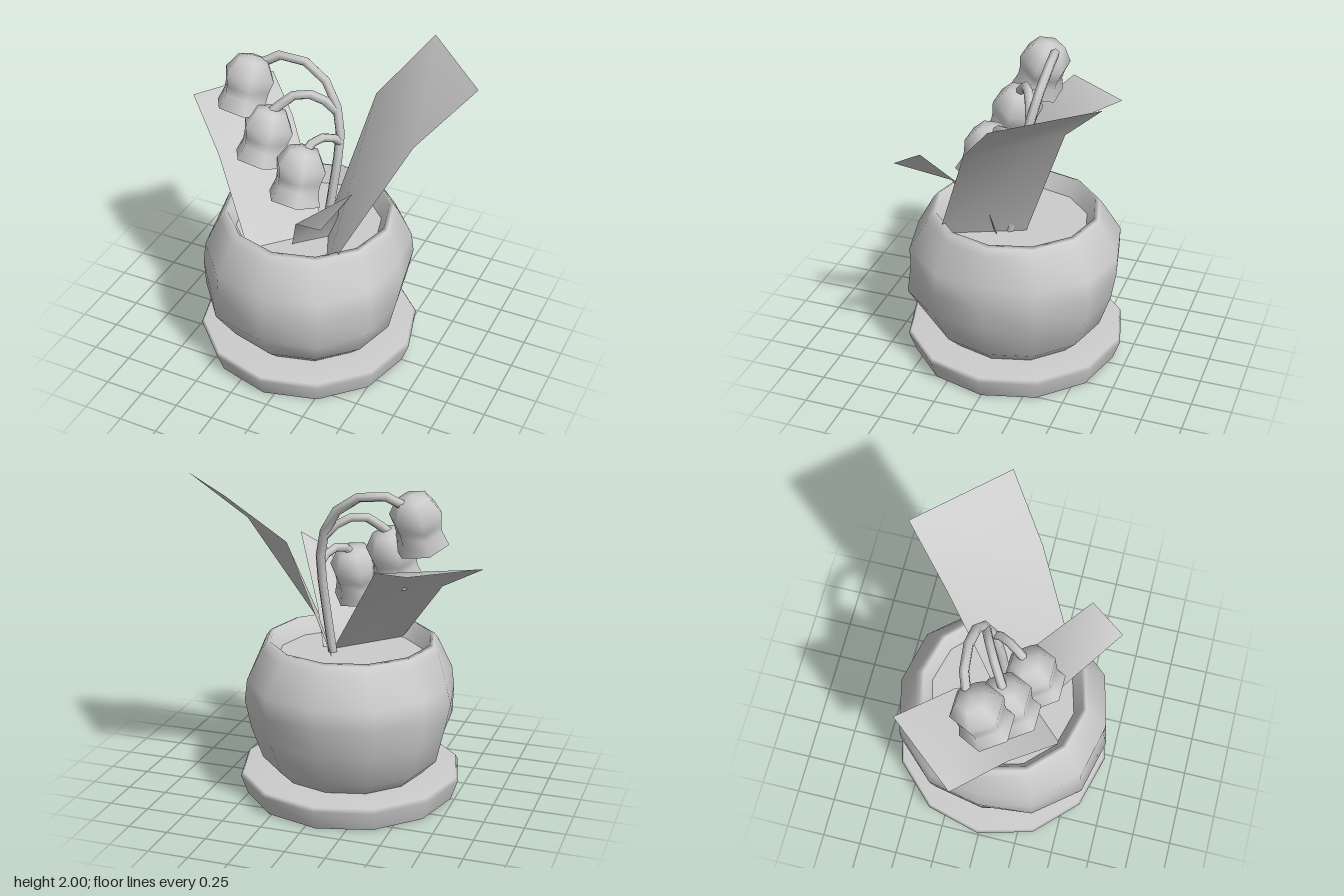
import * as THREE from 'three';
import { mergeVertices } from 'three/addons/utils/BufferGeometryUtils.js';

const V = (a) => new THREE.Vector3(...a);

export function createModel() {
  const model = new THREE.Group();
  const clay = new THREE.MeshStandardMaterial({ color: 0xcccccc, side: THREE.DoubleSide });
  clay.name = 'plain grey';

  const add = (name, geometry, parent = model) => {
    const mesh = new THREE.Mesh(geometry, clay);
    mesh.name = name;
    parent.add(mesh);
    return mesh;
  };
  const lathe = (points, sides, start = 0) =>
    new THREE.LatheGeometry(points.map(([r, y]) => new THREE.Vector2(r, y)), sides, start);
  // Join seams and poles, then shade smoothly over the coarse facets
  const smooth = (geometry) => {
    geometry.deleteAttribute('normal');
    geometry.deleteAttribute('uv');
    const joined = mergeVertices(geometry, 1e-4);
    joined.computeVertexNormals();
    return joined;
  };

  // Pot and saucer share an axis slightly off the middle
  const planter = new THREE.Group();
  planter.name = 'planter';
  planter.position.x = -0.067;
  model.add(planter);

  // Saucer: hollow underneath, with the pot set through its top
  add('saucer', smooth(lathe([[0.66, 0], [0.703, 0.125], [0.688, 0.15], [0.44, 0.15]], 12)), planter);

  // Pot: faceted bowl, flatter on its left and right, fuller on the diagonals
  const pot = lathe([
    [0.36, 0.03], [0.47, 0.15], [0.56, 0.24], [0.66, 0.45], [0.66, 0.63],
    [0.665, 0.76], [0.56, 0.95], [0.53, 0.99], [0.505, 1.0], [0.45, 0.88],
  ], 12);
  const p = pot.attributes.position;
  const flatten = { 0.45: 0.08, 0.63: 0.023, 0.76: 0.08 };
  for (let i = 0; i < p.count; i++) {
    const x = p.getX(i), y = p.getY(i), z = p.getZ(i);
    const s = x / Math.hypot(x, z), c = z / Math.hypot(x, z);
    const ring = y.toFixed(2);
    let k = 1;
    if (ring in flatten) k = 1 - flatten[ring] * s ** 4 + 0.13 * (s * c) ** 2;
    if (ring === '0.45') k *= 1 + 0.045 * c;
    // six-sided foot
    if (ring === '0.03' && Math.floor(i / 10) % 2 === 0) k = Math.cos(Math.PI / 6);
    p.setX(i, x * k);
    p.setZ(i, z * k);
  }
  add('pot', smooth(pot), planter);

  const foot = add('potBottom', new THREE.CircleGeometry(0.36, 6), planter);
  foot.rotation.x = Math.PI / 2;
  foot.position.y = 0.03;

  const soil = add('soil', new THREE.CircleGeometry(0.455, 12), planter);
  soil.rotation.x = -Math.PI / 2;
  soil.position.y = 0.89;

  // Leaves: bent sheets given as pairs of edge points from base to tip
  const leaf = (name, pairs) => {
    // continue the first segment down into the soil
    const root = pairs[0].map((a, i) => {
      const t = (a[1] - 0.87) / (pairs[1][i][1] - a[1]);
      return a.map((c, k) => c - t * (pairs[1][i][k] - c));
    });
    const all = [root, ...pairs.slice(1)];
    const index = [];
    for (let i = 0; i < all.length - 1; i++) {
      const a = i * 2;
      index.push(a, a + 1, a + 3, a, a + 3, a + 2);
    }
    const g = new THREE.BufferGeometry();
    g.setAttribute('position', new THREE.Float32BufferAttribute(all.flat(2), 3));
    g.setIndex(index);
    g.computeVertexNormals();
    add(name, g);
  };
  leaf('tallLeaf', [
    [[0.30, 1, 0.35], [0.05, 1, -0.14]],
    [[0.635, 1.68, 0.07], [0.20, 1.68, -0.39]],
    [[0.915, 2, -0.18], [0.455, 2, -0.68]],
  ]);
  leaf('rightLeaf', [
    [[0, 1, 0], [-0.36, 1, 0.35]],
    [[-0.29, 1.49, -0.23], [-0.60, 1.33, 0.16]],
    [[-0.57, 1.575, -0.52], [-0.915, 1.54, -0.10]],
  ]);
  leaf('smallLeaf', [
    [[-0.02, 1, 0.31], [0.16, 1, 0.08]],
    [[0.035, 1.16, 0.39], [0.19, 1.13, 0.11]],
    [[0.32, 1.375, 0.645], [0.42, 1.52, 0.43]],
  ]);

  // Arching stem and its two side branches
  const stem = (name, points, radius, steps) =>
    add(name, new THREE.TubeGeometry(new THREE.CatmullRomCurve3(points.map(V)), steps, radius, 6));
  stem('mainStem', [
    [0.05, 0.87, 0], [0.085, 1.25, -0.05], [0.09, 1.55, -0.11], [0.005, 1.79, -0.155],
    [-0.16, 1.92, -0.17], [-0.32, 1.94, -0.155], [-0.47, 1.86, -0.10],
  ], 0.03, 9);
  stem('middleBranch', [
    [0.06, 1.66, -0.13], [-0.04, 1.755, -0.09], [-0.16, 1.775, -0.03], [-0.305, 1.65, 0.07],
  ], 0.029, 5);
  stem('lowerBranch', [
    [0.10, 1.47, -0.10], [0.07, 1.535, -0.03], [0.01, 1.555, 0.06], [-0.03, 1.49, 0.14],
  ], 0.027, 4);

  // Nodding bell flowers, open at the hem
  const bell = smooth(lathe([
    [0.17, -0.34], [0.143, -0.25], [0.145, -0.2], [0.163, -0.12], [0.10, -0.02], [0, 0],
  ], 6, Math.PI / 6));
  const down = new THREE.Vector3(0, -1, 0);
  [
    ['upperBell', [-0.465, 1.94, -0.08], [-0.04, -0.33, 0.1]],
    ['middleBell', [-0.285, 1.69, 0.035], [-0.04, -0.33, 0.1]],
    ['lowerBell', [-0.03, 1.535, 0.125], [-0.025, -0.33, 0.1]],
  ].forEach(([name, top, axis]) => {
    const flower = add(name, bell);
    flower.position.set(...top);
    flower.quaternion.setFromUnitVectors(down, V(axis).normalize());
  });

  return model;
}
